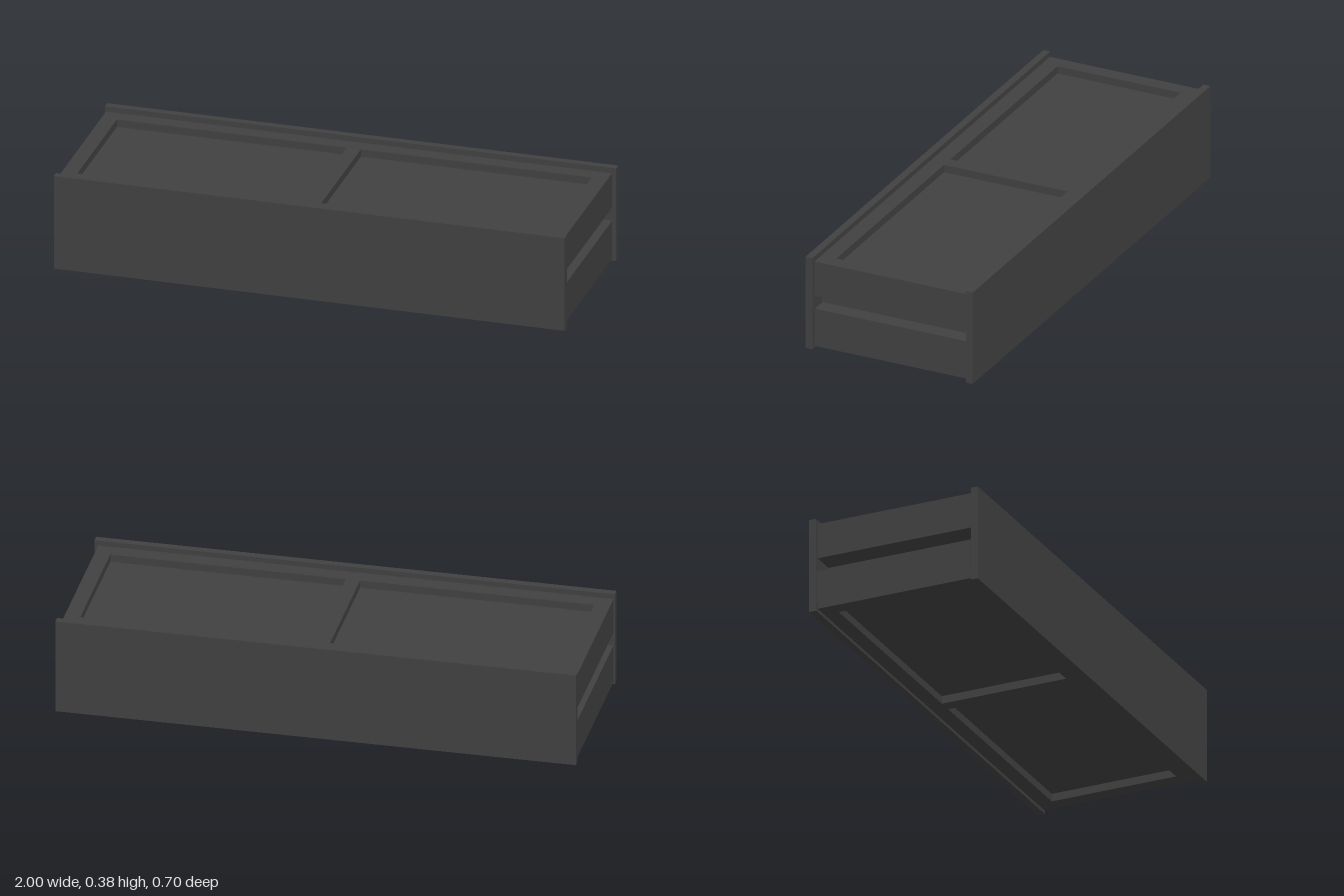
import * as THREE from 'three';

const material = new THREE.MeshStandardMaterial({ color: 0x404040 });

// Box given by its limits on each axis
function box(name, [x0, x1], [y0, y1], [z0, z1]) {
  const mesh = new THREE.Mesh(new THREE.BoxGeometry(x1 - x0, y1 - y0, z1 - z0), material);
  mesh.name = name;
  mesh.position.set((x0 + x1) / 2, (y0 + y1) / 2, (z0 + z1) / 2);
  return mesh;
}

function rectangle(path, x0, x1, z0, z1) {
  path.moveTo(x0, -z1);
  path.lineTo(x1, -z1);
  path.lineTo(x1, -z0);
  path.lineTo(x0, -z0);
  path.closePath();
  return path;
}

const ENDS = [-0.995, 0.985];
const DEPTH = [-0.317, 0.32];
const OPENINGS = [[-0.935, -0.035], [0.02, 0.925]];

// Flat frame with two rectangular openings, lying between y0 and y1
function frame(name, y0, y1) {
  const shape = rectangle(new THREE.Shape(), ...ENDS, ...DEPTH);
  for (const [x0, x1] of OPENINGS) {
    shape.holes.push(rectangle(new THREE.Path(), x0, x1, -0.258, 0.258));
  }
  const geometry = new THREE.ExtrudeGeometry(shape, { depth: y1 - y0, bevelEnabled: false });
  geometry.rotateX(-Math.PI / 2);
  const mesh = new THREE.Mesh(geometry, material);
  mesh.name = name;
  mesh.position.y = y0;
  return mesh;
}

export function createModel() {
  const model = new THREE.Group();
  model.name = 'lowUnit';

  // Long boards at the front and back
  model.add(box('frontBoard', [-1, 1], [0, 0.38], [0.321, 0.35]));
  model.add(box('backBoard', [-1, 1], [0, 0.38], [-0.35, -0.321]));

  // Upper body with its recessed top panels
  model.add(frame('topFrame', 0.33, 0.36));
  model.add(box('upperBody', ENDS, [0.218, 0.33], DEPTH));

  // Set-back core seen in the slot at each end
  model.add(box('core', [-0.9, 0.92], [0.164, 0.218], [-0.321, 0.321]));

  // Lower body with its recessed underside panels
  model.add(box('lowerBody', ENDS, [0.04, 0.164], [-0.321, 0.318]));
  model.add(frame('bottomFrame', 0.009, 0.04));

  return model;
}
